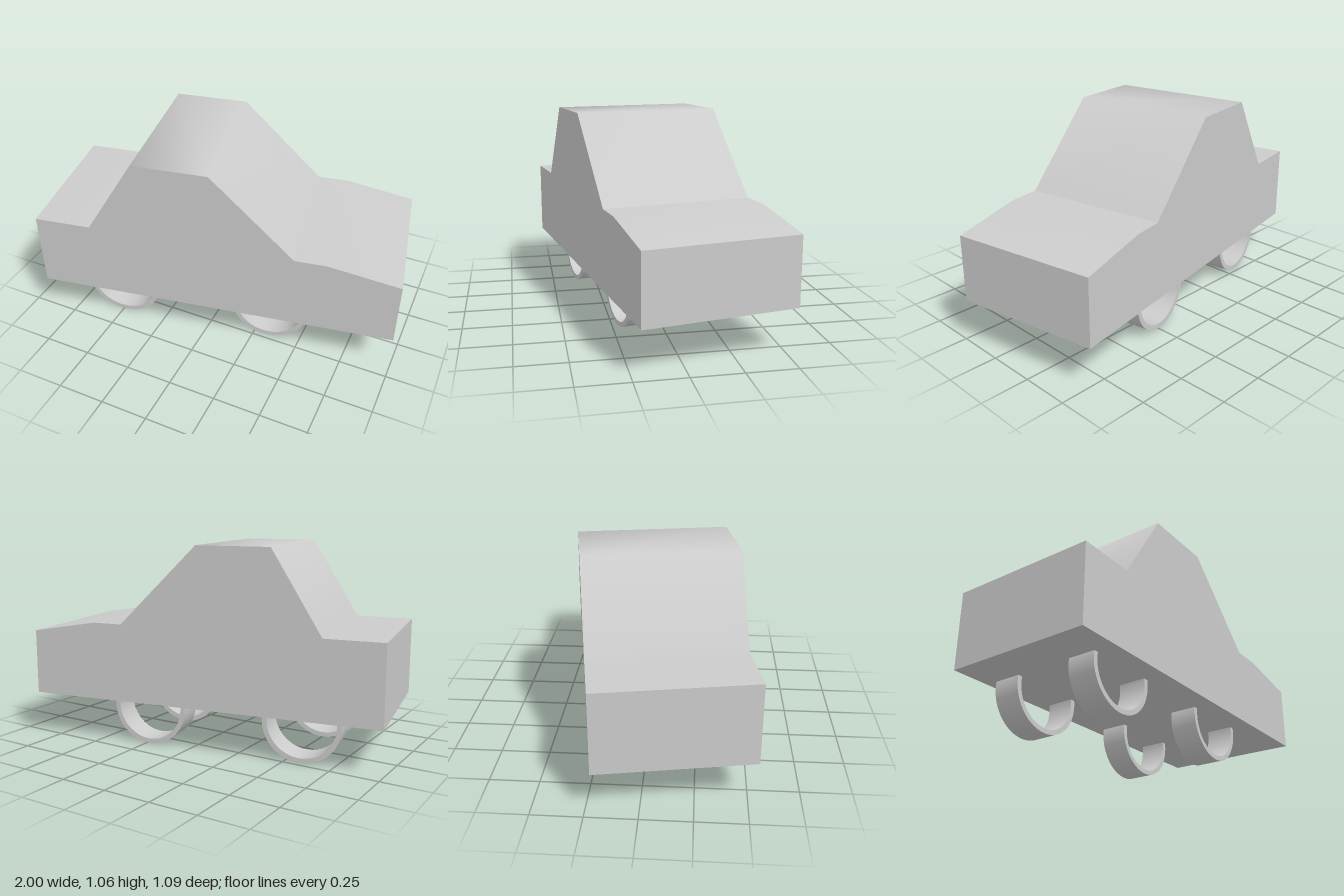
import * as THREE from 'three';
import { toCreasedNormals } from 'three/addons/utils/BufferGeometryUtils.js';

const LENGTH = 1.896, WIDTH = 0.768;
const WHEEL_RADIUS = 0.203, WHEEL_BORE = 0.178, WHEEL_WIDTH = 0.144;

const material = new THREE.MeshStandardMaterial({ color: 0xcccccc });

// Extrudes a side profile across the car, centred on z = 0
function extrudeAcross(name, shape, depth) {
  const geometry = new THREE.ExtrudeGeometry(shape, { depth, bevelEnabled: false, curveSegments: 32 });
  geometry.translate(0, 0, -depth / 2);
  const mesh = new THREE.Mesh(toCreasedNormals(geometry, 1.15), material);
  mesh.name = name;
  return mesh;
}

const profile = (points) => new THREE.Shape(points.map(([x, y]) => new THREE.Vector2(x, y)));

export function createModel() {
  const model = new THREE.Group();
  model.name = 'car';

  // Lower body with a sloping hood towards +x
  const half = LENGTH / 2;
  model.add(extrudeAcross('body', profile([
    [-half, 0.232], [half, 0.232], [half, 0.578], [0.58, 0.642], [-half, 0.642],
  ]), WIDTH));

  // Cabin, smooth over the windscreen, roof and rear window
  model.add(extrudeAcross('cabin', profile([
    [-0.65, 0.642], [0.42, 0.642], [-0.007, 1.058], [-0.393, 1.058],
  ]), WIDTH));

  // Four open hoop wheels, sunk into the underside
  const ring = new THREE.Shape().absarc(0, 0, WHEEL_RADIUS, 0, Math.PI * 2);
  ring.holes.push(new THREE.Path().absarc(0, 0, WHEEL_BORE, 0, Math.PI * 2, true));
  for (const [axle, x] of [['rear', -0.538], ['front', 0.29]]) {
    for (const [side, z] of [['Near', 0.204], ['Far', -0.25]]) {
      const wheel = extrudeAcross(`${axle}Wheel${side}`, ring, WHEEL_WIDTH);
      wheel.position.set(x, WHEEL_RADIUS, z);
      model.add(wheel);
    }
  }

  // The car stands turned slightly about the vertical
  model.rotation.y = THREE.MathUtils.degToRad(10);
  return model;
}
